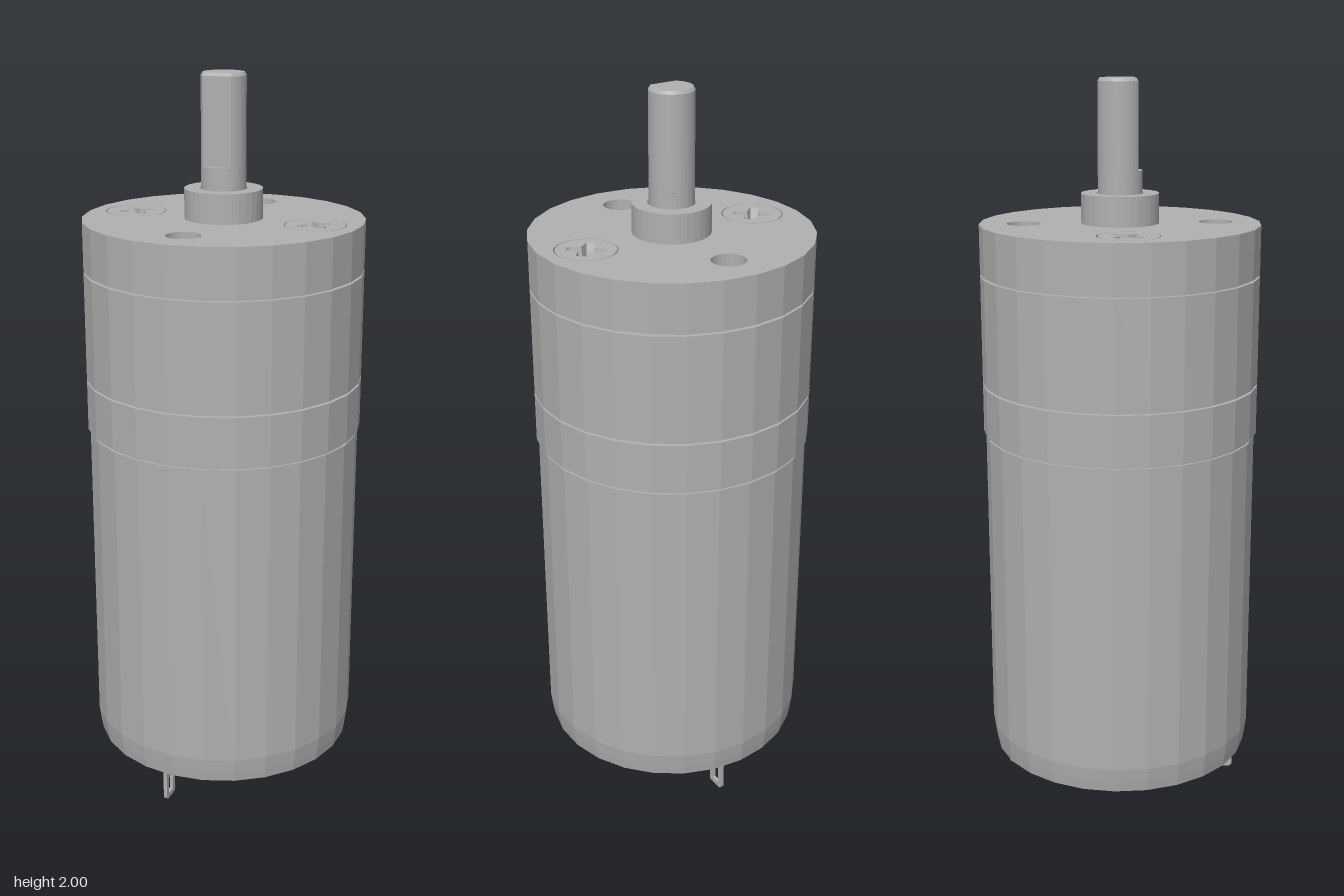
import * as THREE from 'three';

const SIDES = 26;
const metal = new THREE.MeshStandardMaterial({ color: 0xb0b0b0 });
metal.name = 'plain grey metal';

export function createModel() {
  const model = new THREE.Group();
  model.name = 'gearMotor';

  // Every part is faceted
  const add = (name, geometry, x = 0, y = 0, z = 0) => {
    const flat = geometry.index ? geometry.toNonIndexed() : geometry;
    flat.computeVertexNormals();
    const mesh = new THREE.Mesh(flat, metal);
    mesh.name = name;
    mesh.position.set(x, y, z);
    model.add(mesh);
    return mesh;
  };
  // Profile of [radius, y] points, from the bottom up
  const lathe = (points, sides = SIDES) =>
    new THREE.LatheGeometry(points.map(([r, y]) => new THREE.Vector2(r, y)), sides);
  const drum = (r, y0, y1, sides) => lathe([[0, y0], [r, y0], [r, y1], [0, y1]], sides);
  // Outline lying flat and extruded upwards (outline y is model -z)
  const slab = (shape, depth, options = {}) =>
    new THREE.ExtrudeGeometry(shape, { depth, bevelEnabled: false, curveSegments: 14, ...options }).rotateX(-Math.PI / 2);
  const disc = (r) => {
    const points = [];
    for (let i = 0; i < SIDES; i++) {
      const a = (i / SIDES) * Math.PI * 2;
      points.push(new THREE.Vector2(r * Math.sin(a), -r * Math.cos(a)));
    }
    return new THREE.Shape(points);
  };
  const circle = (x, y, r) => new THREE.Path().absarc(x, y, r, 0, Math.PI * 2, true);

  // Motor can with tapered lower end and an open rim
  add('motorCan', lathe([
    [0.35, 0.145], [0.35, 0.11], [0.364, 0.11], [0.369, 0.14], [0.374, 0.18], [0.374, 1.038], [0, 1.038],
  ]));

  // Gearbox rings around a core, leaving fine grooves between them
  add('gearboxCore', drum(0.368, 1.03, 1.495));
  add('gearboxLowerRing', drum(0.38, 1.048, 1.182));
  add('gearboxMiddleRing', drum(0.38, 1.188, 1.482));

  // Front plate with mounting holes and screw holes
  const plate = disc(0.38);
  for (const s of [-1, 1]) {
    plate.holes.push(circle(0, s * 0.26, 0.046), circle(s * 0.26, 0, 0.083));
  }
  add('frontPlate', slab(plate, 0.132), 0, 1.488, 0);

  // Flush screws with a tapered cross recess
  for (const s of [-1, 1]) {
    const head = new THREE.Shape().absarc(0, 0, 0.08, 0, Math.PI * 2, false);
    const cross = [];
    const w = 0.012, l = 0.05;
    for (let i = 0; i < 4; i++) {
      for (const [px, py] of [[l, -w], [l, w], [w * 1.4, w * 1.4]]) {
        const a = Math.PI / 4 + (i * Math.PI) / 2;
        cross.push(new THREE.Vector2(px * Math.cos(a) - py * Math.sin(a), px * Math.sin(a) + py * Math.cos(a)));
      }
    }
    head.holes.push(new THREE.Path(cross.reverse()));
    const geometry = slab(head, 0.05);
    const p = geometry.attributes.position;
    for (let i = 0; i < p.count; i++) {
      if (p.getY(i) < 0.01 && Math.hypot(p.getX(i), p.getZ(i)) < 0.06) {
        p.setXYZ(i, p.getX(i) * 0.6, p.getY(i), p.getZ(i) * 0.6);
      }
    }
    add('screwHead', geometry, s * 0.26, 1.57, 0);
    add('screwShank', drum(0.08, 1.49, 1.569, 28), s * 0.26);
  }

  // Raised collar with a chamfered bore
  add('shaftCollar', lathe([[0.105, 1.61], [0.105, 1.7], [0.064, 1.7], [0.061, 1.69], [0.061, 1.61]], 32));

  // Output shaft: round below, with a flat facing the front above
  add('shaftBase', drum(0.06, 1.6, 1.76, 32));
  const a = Math.asin(0.045 / 0.06);
  const dShape = new THREE.Shape().absarc(0, 0, 0.06, -a, Math.PI + a, false);
  dShape.closePath();
  add('shaftFlatted', slab(dShape, 0.252, {
    bevelEnabled: true, bevelThickness: 0.008, bevelSize: 0.005, bevelOffset: -0.005, bevelSegments: 1,
  }), 0, 1.74, 0);

  // Recessed end cap with dimples, pin holes and arc slots
  const cap = disc(0.352);
  for (const s of [-1, 1]) {
    cap.holes.push(circle(0.13, s * 0.295, 0.027), circle(-0.13, s * 0.295, 0.027), circle(s * 0.18, 0, 0.013));
    const mid = s * Math.PI / 2 - 0.35;
    const slot = new THREE.Path();
    slot.absarc(0, 0, 0.15, mid - 0.45, mid + 0.45, false);
    slot.absarc(0, 0, 0.132, mid + 0.45, mid - 0.45, true);
    slot.closePath();
    cap.holes.push(slot);
  }
  add('endCap', slab(cap, 0.02), 0, 0.118, 0);
  add('endCapBacking', drum(0.352, 0.137, 0.15));

  // Rear bearing boss with a small central hole
  add('rearBearing', lathe([
    [0, 0.085], [0.028, 0.085], [0.028, 0.062], [0.08, 0.062], [0.088, 0.07], [0.088, 0.125],
  ], 32));

  // Solder tabs with an eyelet, each on a small foot
  for (const s of [-1, 1]) {
    const tab = new THREE.Shape();
    tab.moveTo(-0.028, 0.13);
    tab.lineTo(-0.028, 0.012);
    tab.quadraticCurveTo(-0.028, 0, -0.016, 0);
    tab.lineTo(0.016, 0);
    tab.quadraticCurveTo(0.028, 0, 0.028, 0.012);
    tab.lineTo(0.028, 0.13);
    const eye = new THREE.Path();
    eye.moveTo(-0.014, 0.015);
    eye.lineTo(-0.014, 0.065);
    eye.lineTo(0.014, 0.065);
    eye.lineTo(0.014, 0.015);
    eye.closePath();
    tab.holes.push(eye);
    const geometry = new THREE.ExtrudeGeometry(tab, { depth: 0.01, bevelEnabled: false, curveSegments: 4 });
    geometry.translate(0, 0, -0.005).rotateY(Math.PI / 2);
    add('terminalTab', geometry, -s * 0.04, 0, s * 0.303);
    add('terminalFoot', new THREE.BoxGeometry(0.11, 0.01, 0.05), s * 0.015, 0.115, s * 0.295);
  }
  return model;
}
